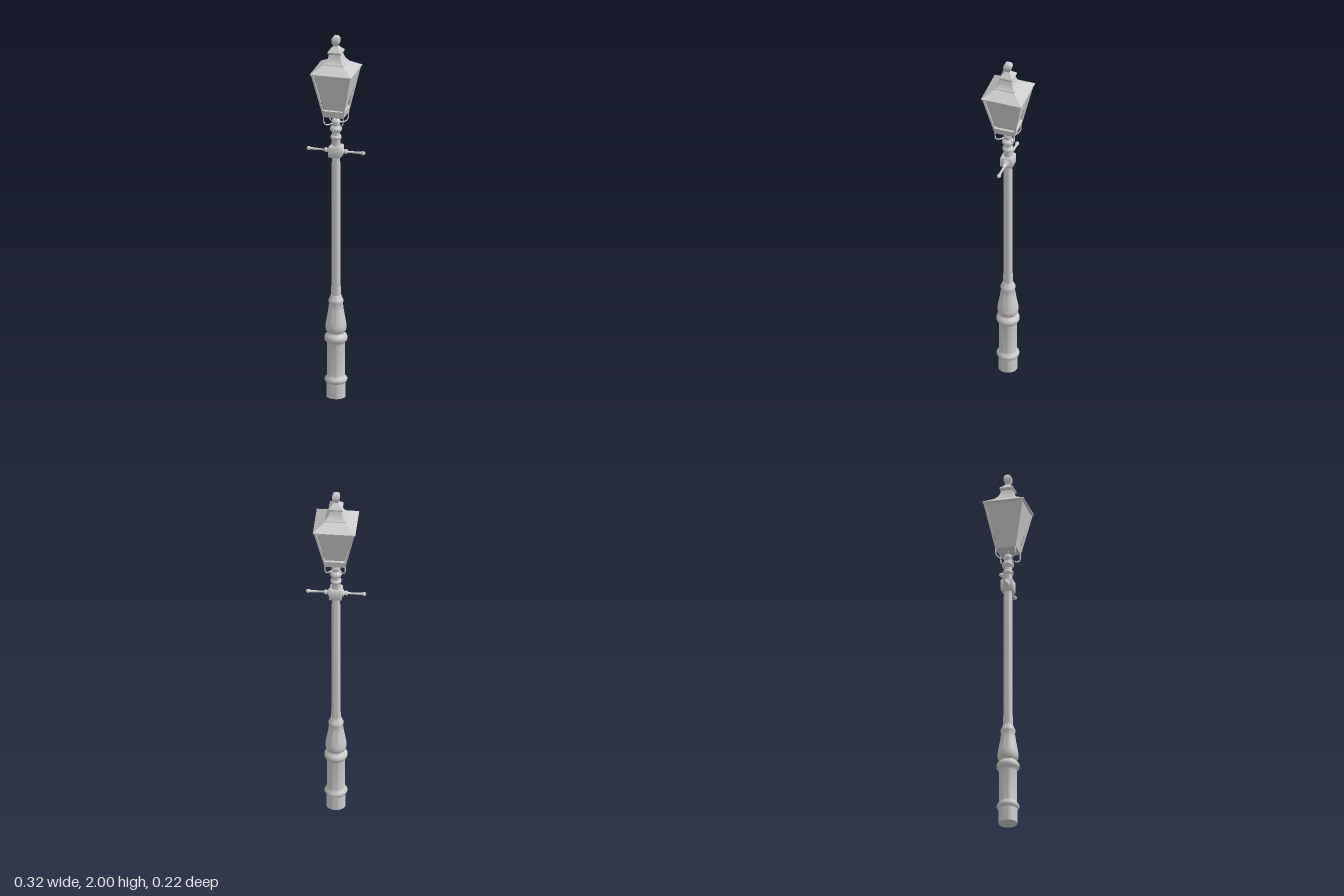
import * as THREE from 'three';
import { toCreasedNormals } from 'three/addons/utils/BufferGeometryUtils.js';

const V = (x, y, z) => new THREE.Vector3(x, y, z);

export function createModel() {
  const group = new THREE.Group();
  group.name = 'streetLamp';
  const material = new THREE.MeshStandardMaterial({ color: 0xcccccc });

  const add = (name, geometry, crease = 0.7) => {
    const mesh = new THREE.Mesh(toCreasedNormals(geometry, crease), material);
    mesh.name = name;
    group.add(mesh);
    return mesh;
  };

  // Round turned profile: [radius, height] from bottom to top
  const turned = (profile, sides = 32) =>
    new THREE.LatheGeometry(profile.map(([r, y]) => new THREE.Vector2(r, y)), sides);

  // Square profile: [half width, height], sides facing the axes
  const squared = (profile) =>
    new THREE.LatheGeometry(
      profile.map(([h, y]) => new THREE.Vector2(h * Math.SQRT2, y)), 4, Math.PI / 4);

  // Straight bar between two points
  const bar = (name, a, b, radius, sides) => {
    const mesh = add(name, new THREE.CylinderGeometry(radius, radius, a.distanceTo(b), sides,
      1, false, sides === 4 ? Math.PI / 4 : 0));
    mesh.position.copy(a).lerp(b, 0.5);
    mesh.quaternion.setFromUnitVectors(V(0, 1, 0), b.clone().sub(a).normalize());
    return mesh;
  };

  // Pedestal with two rolled rings and a vase-shaped top
  add('pedestal', turned([
    [0, 0], [0.05, 0], [0.05, 0.08], [0.055, 0.084], [0.059, 0.093], [0.059, 0.101],
    [0.054, 0.11], [0.047, 0.118], [0.046, 0.125], [0.046, 0.295], [0.048, 0.304],
    [0.057, 0.312], [0.061, 0.322], [0.061, 0.332], [0.056, 0.343], [0.045, 0.352],
    [0.044, 0.357], [0.051, 0.366], [0.055, 0.38], [0.055, 0.397], [0.051, 0.422],
    [0.045, 0.455], [0.04, 0.485], [0.036, 0.518], [0.039, 0.524], [0.039, 0.534],
    [0.035, 0.541], [0.027, 0.563], [0, 0.563],
  ]));

  // Slim column
  add('column', turned([[0.025, 0.55], [0.022, 1.34]]));

  // Block that carries the ladder bar
  add('collar', squared([
    [0, 1.328], [0.028, 1.328], [0.033, 1.334], [0.033, 1.386], [0.028, 1.392], [0, 1.392],
  ]));

  // Ringed neck and round top knob
  add('neck', turned([
    [0.023, 1.39], [0.023, 1.425], [0.028, 1.43], [0.03, 1.438], [0.027, 1.445],
    [0.022, 1.45], [0.022, 1.465], [0.028, 1.47], [0.032, 1.479], [0.032, 1.486],
    [0.027, 1.495], [0.02, 1.501], [0.02, 1.508], [0.024, 1.518], [0.024, 1.526],
    [0.018, 1.537], [0.009, 1.543], [0, 1.544],
  ]));
  bar('lanternStem', V(0, 1.535, 0), V(0, 1.568, 0), 0.004, 8);

  // Ladder bars, mirrored to each side
  for (const side of [1, -1]) {
    const arm = add('ladderBar', turned([
      [0, 0.028], [0.02, 0.033], [0.02, 0.038], [0.012, 0.043], [0.01, 0.047],
      [0.013, 0.051], [0.013, 0.056], [0.009, 0.062], [0.005, 0.068], [0.007, 0.137],
      [0.01, 0.142], [0.011, 0.147], [0.009, 0.153], [0.005, 0.157], [0, 0.158],
    ], 20));
    arm.rotation.z = -side * Math.PI / 2;
    arm.position.y = 1.36;
  }

  // Lantern body: recessed panes above a square foot
  add('lanternPanes', squared([[0.05, 1.595], [0.1, 1.81]]), 0.2);
  add('lanternFoot', squared([
    [0, 1.566], [0.054, 1.56], [0.056, 1.563], [0.061, 1.596], [0.05, 1.6],
  ]), 0.2);

  // Four corner posts and four curved brackets
  for (const sx of [1, -1]) {
    for (const sz of [1, -1]) {
      bar('cornerPost', V(sx * 0.053, 1.575, sz * 0.053), V(sx * 0.102, 1.808, sz * 0.102), 0.007, 4);
      const curve = new THREE.CatmullRomCurve3(
        [[0.008, 1.522], [0.022, 1.514], [0.038, 1.513], [0.049, 1.524], [0.053, 1.542], [0.052, 1.566]]
          .map(([d, y]) => V(sx * d, y, sz * d)));
      add('bracket', new THREE.TubeGeometry(curve, 20, 0.0035, 8));
    }
  }

  // Stepped roof with a concave chimney and cap
  add('roof', squared([
    [0, 1.803], [0.108, 1.803], [0.111, 1.806], [0.111, 1.81], [0.055, 1.846],
    [0.053, 1.852], [0.045, 1.86], [0.038, 1.872], [0.033, 1.886], [0.03, 1.9],
    [0.036, 1.906], [0.037, 1.913], [0.034, 1.918], [0.02, 1.931], [0.011, 1.942], [0, 1.944],
  ]), 0.4);

  // Four-sided finial
  add('finial', squared([
    [0.009, 1.938], [0.011, 1.945], [0.016, 1.952], [0.02, 1.966], [0.02, 1.976],
    [0.017, 1.988], [0.01, 1.997], [0.006, 2], [0, 2],
  ]), 0.7);

  return group;
}
